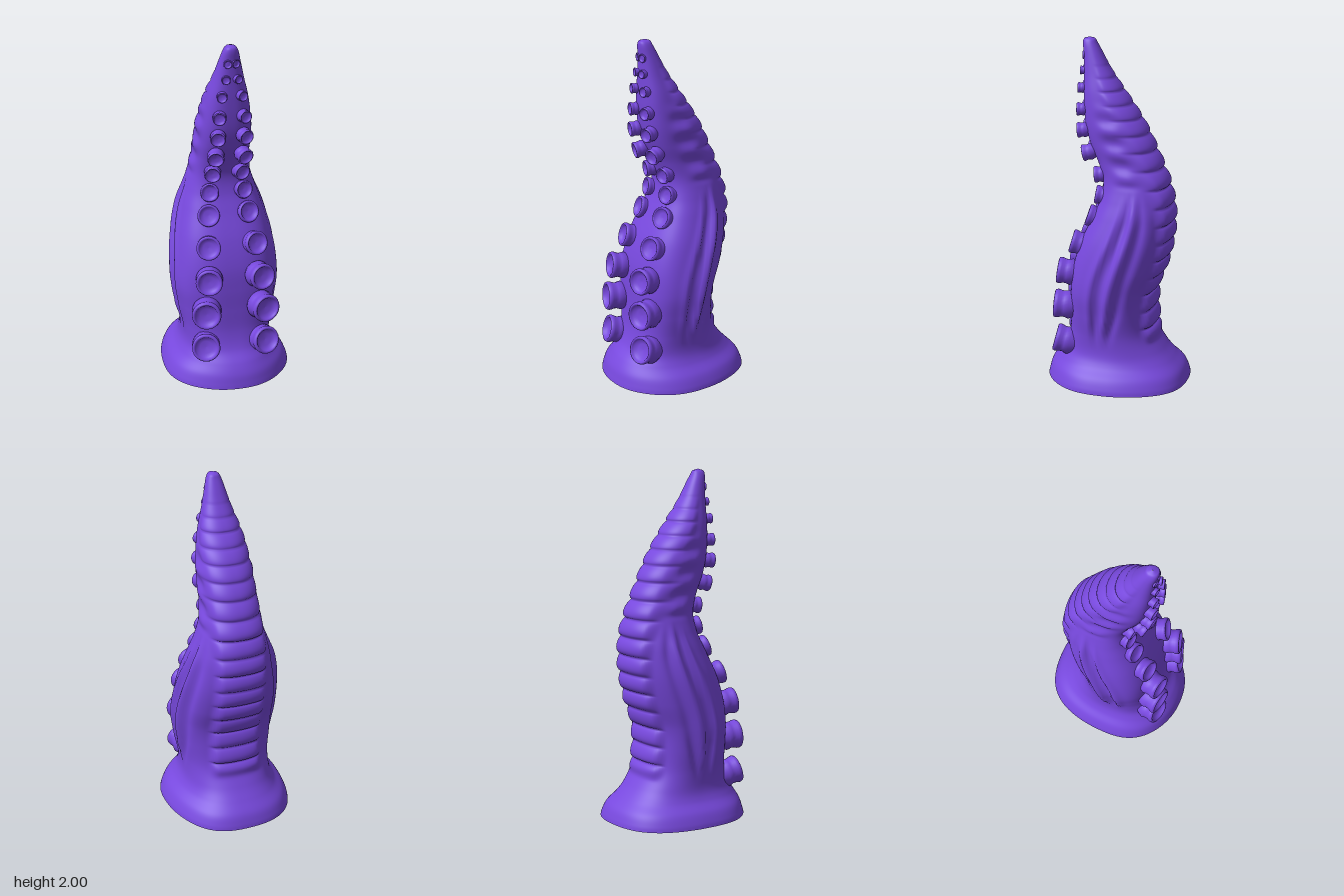
import * as THREE from 'three';

const smooth = THREE.MathUtils.smoothstep;
const gauss = (v, w) => Math.exp(-(v * v) / (w * w));

// height, half width, front z, back z
const SECTIONS = [
  [0, 0.374, 0.42, -0.42], [0.03, 0.366, 0.413, -0.412], [0.08, 0.34, 0.398, -0.388],
  [0.135, 0.29, 0.365, -0.335], [0.2, 0.264, 0.312, -0.277], [0.3, 0.262, 0.28, -0.215],
  [0.43, 0.28, 0.27, -0.195], [0.56, 0.297, 0.265, -0.2], [0.7, 0.292, 0.25, -0.25],
  [0.85, 0.272, 0.205, -0.285], [1.0, 0.235, 0.135, -0.295], [1.1, 0.203, 0.095, -0.285],
  [1.2, 0.172, 0.085, -0.262], [1.3, 0.155, 0.115, -0.225], [1.4, 0.15, 0.16, -0.185],
  [1.5, 0.145, 0.188, -0.14], [1.6, 0.132, 0.2, -0.08], [1.7, 0.113, 0.205, -0.01],
  [1.8, 0.085, 0.207, 0.05], [1.9, 0.06, 0.21, 0.1], [1.965, 0.042, 0.217, 0.135],
  [1.992, 0.026, 0.21, 0.15], [2.0, 0.001, 0.182, 0.178],
];
const curve = (pick) => new THREE.CatmullRomCurve3(
  SECTIONS.map(pick), false, 'catmullrom', 0.5);
const frontCurve = curve(([y, w, f]) => new THREE.Vector3(w, y, f));
const backCurve = curve(([y, w, , b]) => new THREE.Vector3(w, y, b));

function sectionAt(y) {
  let lo = 0, hi = 1;
  for (let i = 0; i < 24; i++) {
    const mid = (lo + hi) / 2;
    if (frontCurve.getPoint(mid).y < y) lo = mid; else hi = mid;
  }
  const f = frontCurve.getPoint(lo), b = backCurve.getPoint(lo);
  return { w: Math.max(f.x, 0.001), c: (f.z + b.z) / 2, d: (f.z - b.z) / 2 };
}

// Squared oval with a broad front, and back plates and side folds raised from it
function surfacePoint(s, y, a) {
  const sn = Math.sin(a), cs = Math.cos(a);
  const square = smooth(y, 0.1, 0.3) * (1 - smooth(y, 1.6, 1.95));
  const e = 0.88 - (cs > 0 ? 0.16 : 0.02) * square;
  let x = Math.sign(sn) * Math.abs(sn) ** e * s.w;
  let z = s.c + Math.sign(cs) * Math.abs(cs) ** e * s.d;
  // egg-shaped foot, wider towards the front
  x *= 1 + (1 - smooth(y, 0.1, 0.3)) * 0.05 * cs * Math.abs(sn);
  // overlapping plates down the back, closer together near the tip
  const band = (1 - smooth(Math.abs(x), 0.11, 0.17)) * smooth(-cs, -0.05, 0.35);
  const fade = smooth(y, 0.24, 0.32) * (1 - 0.45 * smooth(y, 1.2, 1.6))
    * (1 - smooth(y, 1.68, 1.9));
  const u = (y - 0.235) / 0.104 + 5 * Math.max(0, y - 1.3) ** 2;
  const p = ((u % 1) + 1) % 1;
  const lobe = Math.sqrt(Math.sin(Math.PI * p ** 0.75));
  const plate = band * fade * (0.034 * lobe - 0.002);
  // long curved folds on each flank
  const run = smooth(y, 0.22, 0.42) * (1 - smooth(y, 0.95, 1.18));
  const bend = 0.03 - 0.04 * smooth(y, 0.25, 0.6) - 0.13 * smooth(y, 0.5, 1.05);
  const spread = 0.45 + 0.55 * Math.sin(Math.PI * THREE.MathUtils.clamp((y - 0.2) / 0.95, 0, 1));
  const q = (z - bend) / spread;
  const fold = run * (0.02 * gauss(q, 0.03) - 0.02 * gauss(q - 0.06, 0.026)
    + 0.014 * gauss(q - 0.115, 0.03) - 0.014 * gauss(q + 0.065, 0.03));
  // soft swellings on the upper flanks, gentle unevenness on the foot
  const swell = 0.009 * smooth(y, 1.16, 1.22) * (1 - smooth(y, 1.52, 1.68))
    * (0.3 + Math.cos((y - 1.24) / 0.128 * 2 * Math.PI)) * gauss(cs + 0.05, 0.3);
  const foot = (1 - smooth(y, 0.05, 0.25)) * 0.004 * Math.sin(a * 5 + 1);
  x += sn * (fold + plate * 0.7 + swell + foot);
  z += cs * (plate + fold * 0.3 + foot);
  return [x, y, z];
}

function gridGeometry(rows, cols, point, flip) {
  const pos = [], idx = [];
  for (let i = 0; i <= rows; i++)
    for (let j = 0; j < cols; j++) pos.push(...point(i / rows, (j / cols) * Math.PI * 2));
  for (let i = 0; i < rows; i++)
    for (let j = 0; j < cols; j++) {
      const a = i * cols + j, b = i * cols + (j + 1) % cols, c = a + cols, d = b + cols;
      if (flip) idx.push(a, c, b, b, c, d); else idx.push(a, b, c, b, d, c);
    }
  const g = new THREE.BufferGeometry();
  g.setAttribute('position', new THREE.Float32BufferAttribute(pos, 3));
  g.setIndex(idx);
  g.computeVertexNormals();
  return g;
}

// height, x, radius, z of the rim
const SUCKERS = [
  [0.25, 0.183, 0.081, 0.342], [0.46, 0.18, 0.083, 0.346], [0.66, 0.16, 0.076, 0.33],
  [0.84, 0.143, 0.069, 0.25], [1.0, 0.12, 0.063, 0.158], [1.12, 0.103, 0.053, 0.116],
  [1.23, 0.088, 0.047, 0.128], [1.35, 0.087, 0.047, 0.198], [1.48, 0.082, 0.043, 0.23],
  [1.6, 0.075, 0.037, 0.234], [1.72, 0.06, 0.029, 0.232], [1.815, 0.036, 0.024, 0.225],
  [1.9, 0.024, 0.024, 0.214],
];

export function createModel() {
  const model = new THREE.Group();
  const purple = new THREE.MeshStandardMaterial({ color: 0x7748dd });
  purple.name = 'purple';
  const add = (geometry, name, parent = model) => {
    const mesh = new THREE.Mesh(geometry, purple);
    mesh.name = name;
    parent.add(mesh);
    return mesh;
  };

  // Tapering curved body
  let lastT = -1, sec;
  add(gridGeometry(260, 112, (t, a) => {
    const y = 2 * t;
    if (t !== lastT) { sec = sectionAt(y); lastT = t; }
    return surfacePoint(sec, y, a);
  }), 'body');

  // Shallow domed underside with radiating grooves and a centre knob
  const base = sectionAt(0);
  add(gridGeometry(30, 112, (t, a) => {
    const r = 1 - t;
    const [x, , z] = surfacePoint(base, 0, a);
    const dome = 0.04 * Math.max(0, 1 - (r / 0.88) ** 2);
    const groove = 0.022 * smooth(Math.cos(a * 8 + 0.4), 0, 0.8)
      * smooth(r, 0.12, 0.3) * (1 - smooth(r, 0.6, 0.78));
    const y = dome + groove - 0.02 * gauss(r, 0.12);
    return [x * r, y, z * r];
  }, true), 'underside');

  // Two rows of cupped suckers down the front, their stems sunk into the body
  const cup = new THREE.LatheGeometry([
    [0.7, -1.8], [1.02, -1.05], [0.92, -0.72], [0.93, -0.5], [1.0, -0.3], [1.01, -0.15],
    [0.96, -0.02], [0.87, 0.02], [0.79, -0.05], [0.72, -0.22], [0.45, -0.34], [0.001, -0.37],
  ].map(([r, y]) => new THREE.Vector2(r, y)), 28);
  const suckers = new THREE.Group();
  suckers.name = 'suckers';
  model.add(suckers);
  const up = new THREE.Vector3(0, 1, 0);
  for (const [y, x, r, z] of SUCKERS) {
    const lower = sectionAt(y - 0.06), upper = sectionAt(y + 0.06);
    const slope = (lower.c + lower.d - upper.c - upper.d) / 0.12;
    for (const side of [1, -1]) {
      const sucker = add(cup, side > 0 ? 'leftSucker' : 'rightSucker', suckers);
      const facing = new THREE.Vector3(side * 0.25, 0.06 + slope * 0.65, 1).normalize();
      sucker.quaternion.setFromUnitVectors(up, facing);
      sucker.position.set(side * x, y, z);
      sucker.scale.setScalar(r);
    }
  }
  return model;
}
